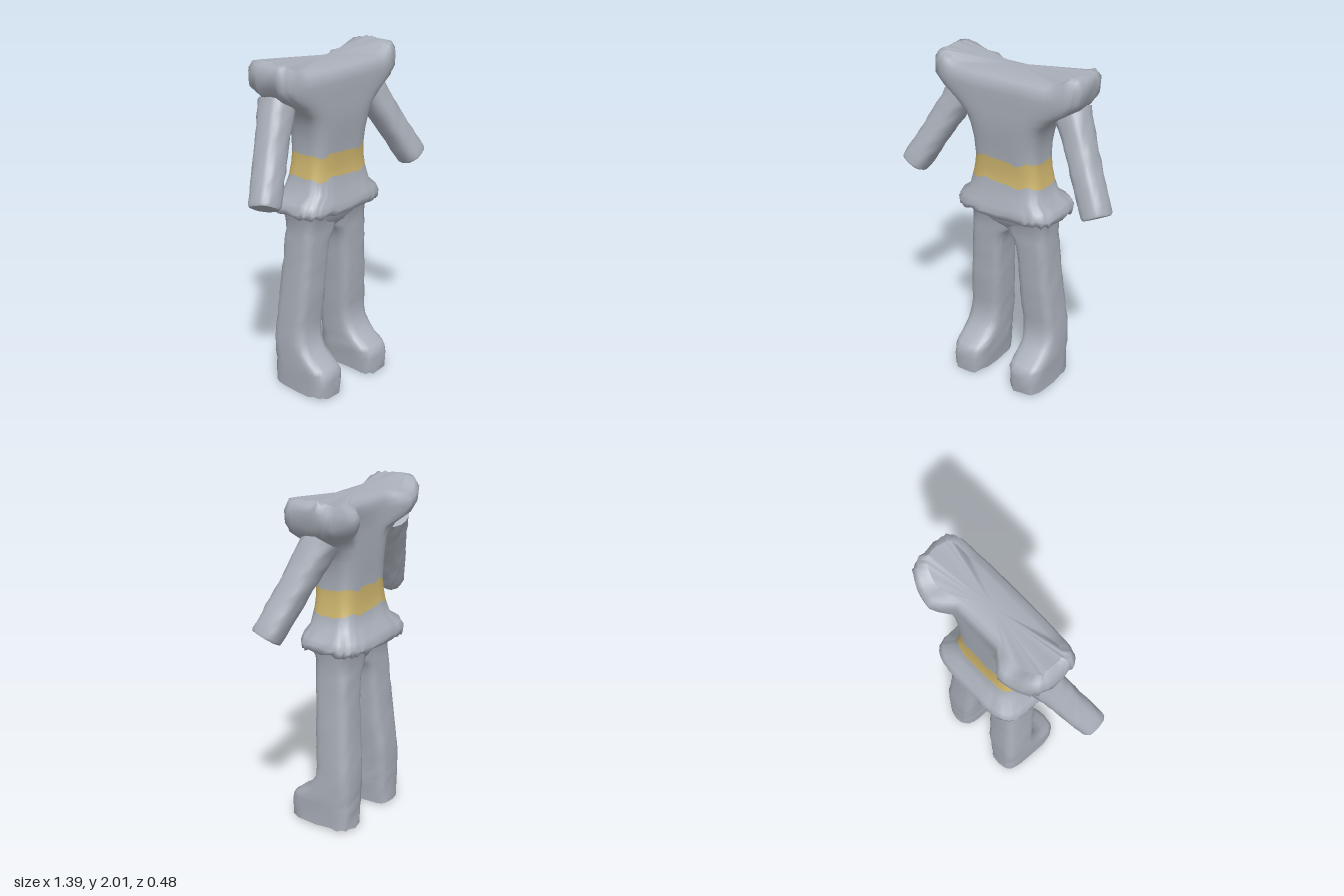
import * as THREE from 'three';

const cloth = new THREE.MeshStandardMaterial({ color: 0xa9afb9 });
cloth.name = 'grey cloth';
const gold = new THREE.MeshStandardMaterial({ color: 0xcdb56e });
gold.name = 'gold belt';

let seed = 7;
const rand = () => {
  seed = (seed * 16807) % 2147483647;
  return seed / 2147483647 - 0.5;
};
const smooth = THREE.MathUtils.smoothstep;

// Insert evenly spaced rings so that lumpy cloth has vertices to move
function subdivide(rings, step) {
  const out = [];
  for (let i = 0; i < rings.length - 1; i++) {
    const n = Math.max(1, Math.round((rings[i + 1][0] - rings[i][0]) / step));
    for (let k = 0; k < n; k++) {
      out.push(rings[i].map((v, c) => v + ((rings[i + 1][c] - v) * k) / n));
    }
  }
  out.push(rings[rings.length - 1]);
  return out;
}

// Loft of rounded-box rings [y, x0, x1, zFront, zBack], bottom to top, with flat caps
function loft(rings, { seg = 24, power = 3, lump = 0, warp, isGold } = {}) {
  const pos = [], index = [], geo = new THREE.BufferGeometry();
  rings.forEach((ring, i) => {
    const [y, x0, x1, zf, zb] = ring;
    for (let j = 0; j < seg; j++) {
      const a = (j / seg) * Math.PI * 2;
      const pw = (v) => Math.sign(v) * Math.pow(Math.abs(v), 2 / power);
      const grow = 1 + rand() * lump;
      const p = new THREE.Vector3(
        (x0 + x1) / 2 + (pw(Math.cos(a)) * Math.abs(x1 - x0) / 2) * grow, y,
        (zf + zb) / 2 + (pw(Math.sin(a)) * (zf - zb) / 2) * grow);
      if (warp) warp(p, ring, i);
      pos.push(p.x, p.y, p.z);
    }
  });
  for (let i = 0; i < rings.length - 1; i++) {
    const start = index.length;
    for (let j = 0; j < seg; j++) {
      const a = i * seg + j, b = i * seg + ((j + 1) % seg), c = a + seg, d = b + seg;
      index.push(a, c, b, b, c, d);
    }
    geo.addGroup(start, seg * 6, isGold && isGold(rings[i][0]) ? 1 : 0);
  }
  const capStart = index.length;
  for (const top of [false, true]) {
    const from = top ? (rings.length - 1) * seg : 0;
    const base = pos.length / 3;
    const mid = [0, 0, 0];
    for (let j = 0; j < seg; j++) {
      for (let k = 0; k < 3; k++) {
        const v = pos[(from + j) * 3 + k];
        pos.push(v);
        mid[k] += v / seg;
      }
    }
    pos.push(...mid);
    for (let j = 0; j < seg; j++) {
      const n = (j + 1) % seg;
      if (top) index.push(base + seg, base + n, base + j);
      else index.push(base + seg, base + j, base + n);
    }
  }
  geo.addGroup(capStart, index.length - capStart, 0);
  geo.setAttribute('position', new THREE.Float32BufferAttribute(pos, 3));
  geo.setIndex(index);
  geo.computeVertexNormals();
  return geo;
}

export function createModel() {
  seed = 7;
  const model = new THREE.Group();
  const add = (name, geo) => {
    const mesh = new THREE.Mesh(geo, [cloth, gold]);
    mesh.name = name;
    model.add(mesh);
    return mesh;
  };

  // Tunic: skirt flare, belt, waist, chest and wide shoulders
  // [y, half width, zFront, zBack, backward shoulder flare]
  const tunic = [
    [1.105, 0.25, 0.12, -0.17, 0],
    [1.11, 0.32, 0.175, -0.23, 0],
    [1.14, 0.325, 0.18, -0.235, 0],
    [1.18, 0.305, 0.17, -0.22, 0],
    [1.23, 0.25, 0.15, -0.17, 0],
    [1.31, 0.23, 0.13, -0.145, 0],
    [1.38, 0.216, 0.127, -0.138, 0],
    [1.45, 0.21, 0.13, -0.135, 0],
    [1.54, 0.215, 0.14, -0.138, 0],
    [1.62, 0.232, 0.15, -0.14, 0],
    [1.69, 0.265, 0.155, -0.14, 0],
    [1.75, 0.34, 0.155, -0.14, 0.1],
    [1.81, 0.43, 0.155, -0.14, 0.6],
    [1.86, 0.475, 0.155, -0.145, 0.68],
    [1.9, 0.485, 0.15, -0.145, 0.68],
    [1.93, 0.465, 0.13, -0.135, 0.6],
    [1.945, 0.435, 0.09, -0.11, 0.4],
  ].map(([y, w, f, b, s]) => [y, -w, w, f, b, s]);
  add('tunic', loft(tunic, {
    seg: 64, power: 4,
    isGold: (y) => y > 1.3 && y < 1.44,
    warp: (p, ring) => {
      const y = ring[0], x = Math.abs(p.x);
      // Shoulders push backwards and rise at their outer ends
      if (p.z < 0) p.z *= 1 + ring[5] * smooth(x, 0.15, 0.26);
      p.y += 0.055 * smooth(y, 1.84, 1.93) * smooth(x, 0.3, 0.43);
      // Uneven hem, belt edges and shoulder edges
      if (y > 1.1 && y < 1.2) p.y += rand() * 0.022;
      if (y === 1.31 || y === 1.45) p.y += 0.012 * Math.sin(p.x * 45) + rand() * 0.012;
      if (x > 0.4 && y > 1.78) {
        p.x *= 1 + rand() * 0.035;
        p.y += rand() * 0.02;
      }
    },
  }));

  // Seat joining the two legs
  add('hips', loft([
    [0.985, -0.1, 0.1, 0.05, -0.09],
    [1.02, -0.2, 0.2, 0.085, -0.12],
    [1.06, -0.255, 0.255, 0.1, -0.135],
    [1.13, -0.27, 0.27, 0.13, -0.16],
  ], { power: 3 }));

  // Trouser legs with boots; x0 is the inner side
  const leg = [
    [0.008, 0.105, 0.315, 0.23, -0.18],
    [0.06, 0.1, 0.315, 0.235, -0.18],
    [0.15, 0.093, 0.317, 0.23, -0.18],
    [0.175, 0.092, 0.317, 0.205, -0.18],
    [0.21, 0.092, 0.316, 0.15, -0.18],
    [0.25, 0.091, 0.315, 0.1, -0.18],
    [0.31, 0.088, 0.312, 0.065, -0.18],
    [0.38, 0.083, 0.306, 0.055, -0.178],
    [0.6, 0.068, 0.288, 0.072, -0.158],
    [0.8, 0.058, 0.27, 0.08, -0.145],
    [0.9, 0.045, 0.266, 0.083, -0.138],
    [0.95, 0.02, 0.263, 0.085, -0.135],
    [0.98, -0.005, 0.262, 0.086, -0.133],
    [1.05, -0.02, 0.262, 0.092, -0.133],
    [1.12, -0.02, 0.28, 0.12, -0.15],
  ];
  // Sleeves along local y, from the cuff up to the shoulder
  const sleeve = [
    [0, -0.072, 0.072, 0.075, -0.075],
    [0.015, -0.08, 0.08, 0.082, -0.082],
    [0.3, -0.08, 0.08, 0.085, -0.085],
    [0.45, -0.084, 0.084, 0.09, -0.09],
    [0.6, -0.095, 0.095, 0.1, -0.1],
  ];
  for (const side of [1, -1]) {
    const name = side > 0 ? 'left' : 'right';
    add(name + 'Leg', loft(subdivide(leg, 0.05).map(([y, a, b, f, k]) => [y, a * side, b * side, f, k]), {
      power: 3.6, lump: 0.05,
      warp: (p, ring) => {
        // Ragged sole edge
        if (ring[0] < 0.01) p.y += rand() * 0.016;
      },
    }));
    const arm = add(name + 'Sleeve', loft(subdivide(sleeve, 0.05), { seg: 20, power: 2.8, lump: 0.09 }));
    const cuff = new THREE.Vector3(0.628 * side, 1.27, 0.115);
    const shoulder = new THREE.Vector3(0.35 * side, 1.77, -0.055);
    arm.position.copy(cuff);
    arm.quaternion.setFromUnitVectors(new THREE.Vector3(0, 1, 0), shoulder.sub(cuff).normalize());
  }
  return model;
}
